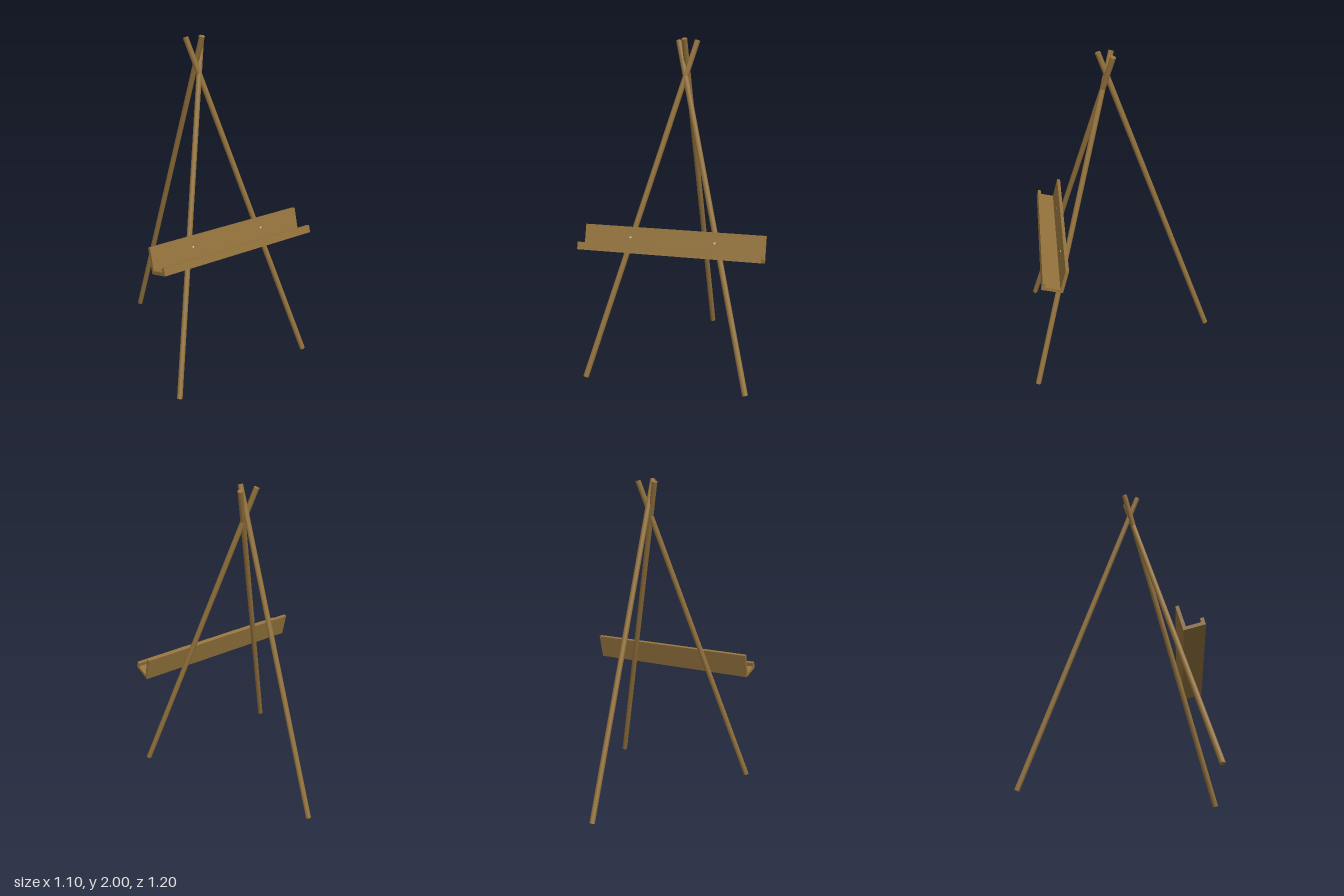
import * as THREE from 'three';

export function createModel() {
  const root = new THREE.Group();
  root.name = 'easel';
  const wood = new THREE.MeshStandardMaterial({ color: 0x94733d });
  const metal = new THREE.MeshStandardMaterial({ color: 0xcccccc });
  const cx = -0.005; // the tripod sits slightly off the tray's centre

  // Round pole between two end points
  function pole(name, from, to, radius, material) {
    const a = new THREE.Vector3(...from), b = new THREE.Vector3(...to);
    const dir = b.clone().sub(a);
    const mesh = new THREE.Mesh(new THREE.CylinderGeometry(radius, radius, dir.length(), 10), material);
    mesh.position.copy(a).add(b).multiplyScalar(0.5);
    mesh.quaternion.setFromUnitVectors(new THREE.Vector3(0, 1, 0), dir.normalize());
    mesh.name = name;
    return mesh;
  }

  // Two crossing front legs and one rear leg
  for (const [side, name] of [[1, 'frontLegLeft'], [-1, 'frontLegRight']]) {
    root.add(pole(name, [cx + side * 0.487, 0.007, 0.582], [cx - side * 0.058, 1.983, 0.054], 0.017, wood));
  }
  root.add(pole('rearLeg', [cx, 0.006, -0.582], [cx, 1.994, 0.136], 0.017, wood));

  // Tray: backboard, shelf and lip as one profile, leaning with the front legs
  const tray = new THREE.Group();
  tray.name = 'tray';
  tray.position.set(0, 0.745, 0.404);
  tray.rotation.x = -0.262;
  const t = 0.02, depth = 0.13, back = 0.155, lip = 0.045, width = 1.1;
  const profile = new THREE.Shape([
    [0, 0], [depth, 0], [depth, lip], [depth - t, lip],
    [depth - t, t], [t, t], [t, back], [0, back],
  ].map(([x, y]) => new THREE.Vector2(x, y)));
  const board = new THREE.ExtrudeGeometry(profile, { depth: width, bevelEnabled: false });
  board.translate(0, 0, -width / 2).rotateY(-Math.PI / 2);
  const boardMesh = new THREE.Mesh(board, wood);
  boardMesh.name = 'trayBoard';
  tray.add(boardMesh);

  // Screws fixing the backboard to the legs
  for (const side of [-1, 1]) {
    const x = cx + side * 0.257;
    tray.add(pole('screw', [x, 0.092, t - 0.005], [x, 0.092, t + 0.002], 0.006, metal));
  }
  root.add(tray);
  return root;
}
